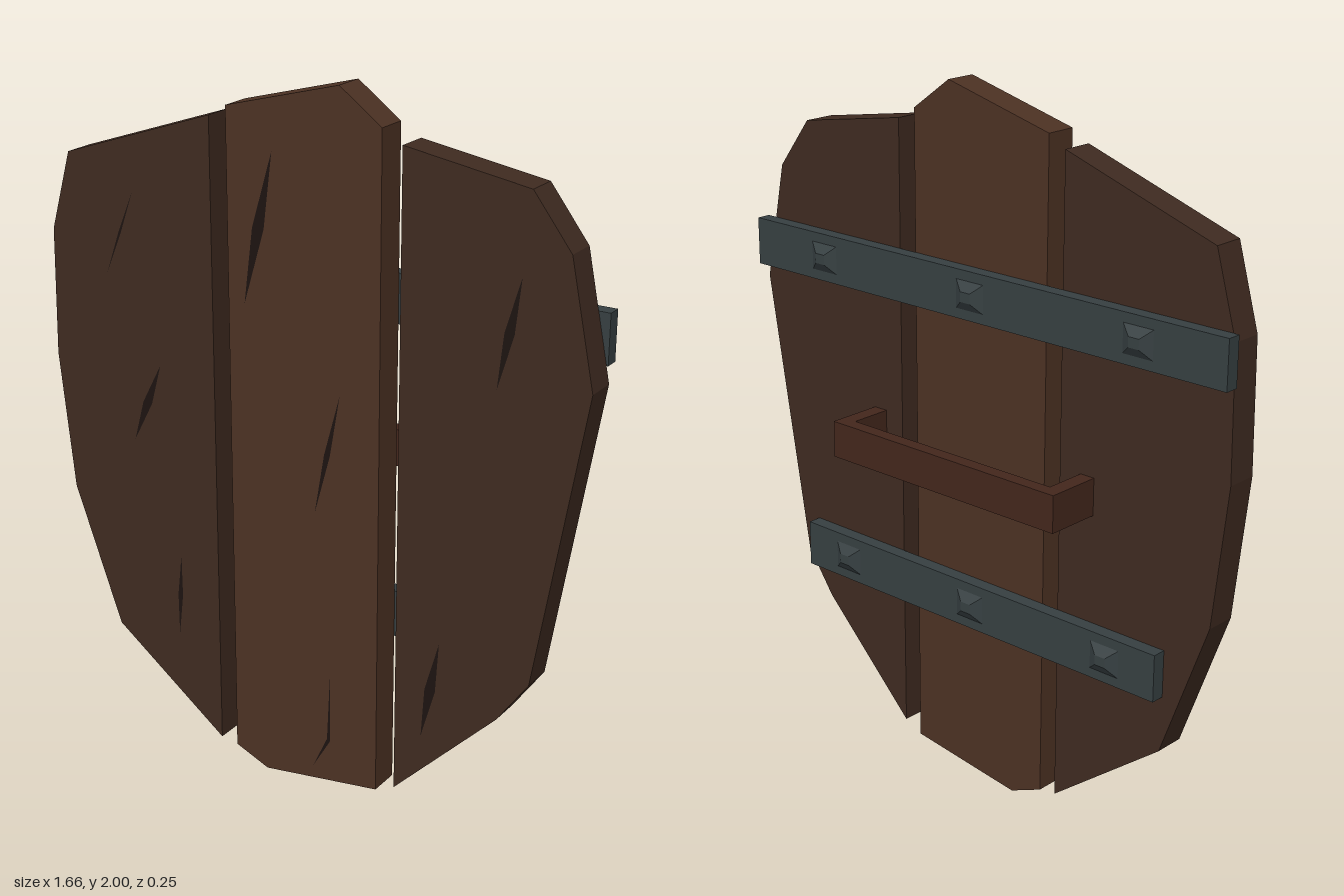
import * as THREE from 'three';

const material = (color) => new THREE.MeshStandardMaterial({ color, flatShading: true, roughness: 0.9 });
const darkWood = material(0x3e2a20);
const midWood = material(0x4c3123);
const handleWood = material(0x43261c);
const iron = material(0x363f41);
const crackMat = material(0x1c1310);
crackMat.side = THREE.DoubleSide;

const BACK = 0.035, FRONT = 0.125;

const outline = (points) => new THREE.Shape(points.map(([x, y]) => new THREE.Vector2(x, y)));

function add(parent, name, geometry, mat, x = 0, y = 0, z = 0) {
  const mesh = new THREE.Mesh(geometry, mat);
  mesh.name = name;
  mesh.position.set(x, y, z);
  parent.add(mesh);
  return mesh;
}

function plank(parent, name, points, mat) {
  const geometry = new THREE.ExtrudeGeometry(outline(points), { depth: FRONT - BACK, bevelEnabled: false });
  add(parent, name, geometry, mat, 0, 0, BACK);
}

// Narrow kite-shaped split in the wood, from its top to its bottom tip
function crack(parent, x1, y1, x2, y2, width) {
  const mx = (x1 + x2) / 2, my = (y1 + y2) / 2;
  const shape = outline([[x1, y1], [mx - width / 2, my], [x2, y2], [mx + width / 2, my]]);
  add(parent, 'crack', new THREE.ShapeGeometry(shape), crackMat, 0, 0, FRONT + 0.002);
}

// Iron strap across the back with faceted rivets
function strap(parent, name, x1, x2, y, height, rivets) {
  const group = new THREE.Group();
  group.name = name;
  add(group, 'bar', new THREE.BoxGeometry(x2 - x1, height, 0.04), iron, (x1 + x2) / 2, y, 0.015);
  const rivet = new THREE.CylinderGeometry(0.35 * Math.SQRT1_2, Math.SQRT1_2, 1, 4);
  rivet.rotateY(Math.PI / 4).rotateX(-Math.PI / 2).scale(0.095, 0.08, 0.018);
  for (const x of rivets) add(group, 'rivet', rivet, iron, x, y, -0.014);
  parent.add(group);
}

export function createModel() {
  const model = new THREE.Group();
  model.name = 'woodenShield';

  // Three planks
  plank(model, 'rightPlank', [[-0.285, 1.878], [-0.755, 1.72], [-0.82, 1.495], [-0.827, 1.13],
    [-0.785, 0.73], [-0.64, 0.325], [-0.285, 0.053]], darkWood);
  plank(model, 'middlePlank', [[-0.232, 1.91], [0.11, 2], [0.234, 1.91], [0.234, 0.048],
    [-0.127, 0], [-0.232, 0.045]], midWood);
  plank(model, 'leftPlank', [[0.292, 1.875], [0.648, 1.817], [0.757, 1.675], [0.827, 1.338],
    [0.69, 0.51], [0.6, 0.383], [0.292, 0.075]], darkWood);

  // Splits on the front
  const cracks = [
    [-0.54, 1.64, -0.635, 1.4, 0.008], [-0.465, 1.16, -0.56, 0.925, 0.03], [-0.412, 0.6, -0.425, 0.35, 0.016],
    [-0.09, 1.81, -0.18, 1.39, 0.036], [0.115, 1.19, 0.037, 0.84, 0.018],
    [0.63, 1.6, 0.57, 1.3, 0.028], [0.425, 0.555, 0.375, 0.265, 0.032],
  ];
  for (const c of cracks) crack(model, ...c);
  const bent = outline([[0.086, 0.37], [0.076, 0.16], [0.03, 0.06], [0.086, 0.155]]);
  add(model, 'crack', new THREE.ShapeGeometry(bent), crackMat, 0, 0, FRONT + 0.002);

  // Iron straps
  strap(model, 'upperStrap', -0.83, 0.822, 1.45, 0.135, [-0.56, 0, 0.55]);
  strap(model, 'lowerStrap', -0.645, 0.645, 0.555, 0.135, [-0.48, 0, 0.48]);

  // Grip: a squared U drawn in plan and extruded downward
  const grip = outline([[-0.4, BACK], [-0.4, -0.127], [0.4, -0.127], [0.4, BACK],
    [0.355, BACK], [0.355, -0.087], [-0.355, -0.087], [-0.355, BACK]]);
  const gripGeometry = new THREE.ExtrudeGeometry(grip, { depth: 0.105, bevelEnabled: false });
  gripGeometry.rotateX(Math.PI / 2);
  add(model, 'handle', gripGeometry, handleWood, 0, 1.035, 0);

  return model;
}
